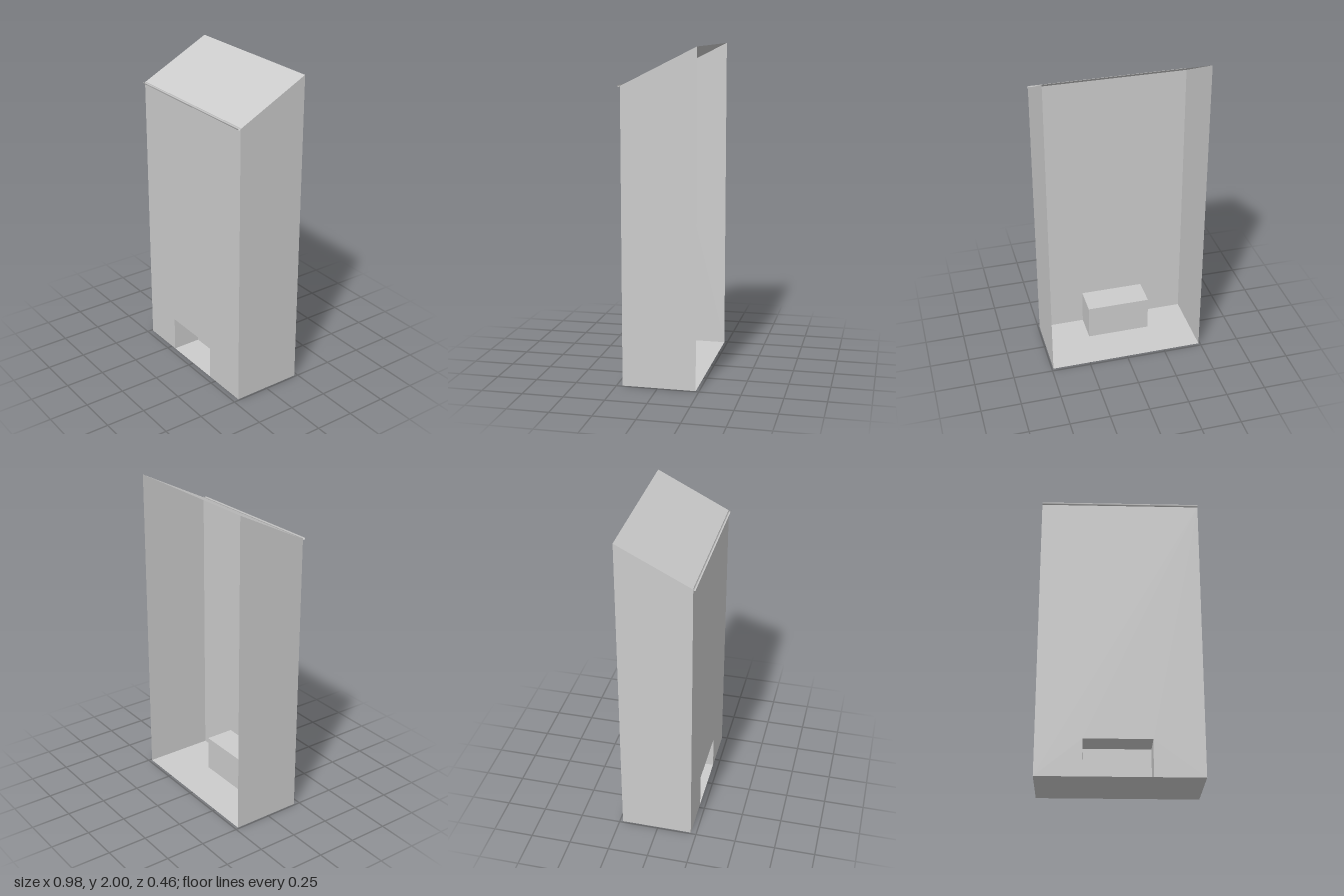
import * as THREE from 'three';

const W = 0.49, BACK = -0.23, FRONT = 0.214, EAVE = 1.777, TOP = 2;
const NX0 = -0.215, NX1 = 0.19, NH = 0.225, NBACK = FRONT - 0.185;

export function createModel() {
  const group = new THREE.Group();
  const material = new THREE.MeshStandardMaterial({ color: 0xcccccc, side: THREE.DoubleSide });

  const add = (name, geometry) => {
    const mesh = new THREE.Mesh(geometry, material);
    mesh.name = name;
    group.add(mesh);
    return mesh;
  };

  // flat four-cornered panel, corners counter-clockwise seen from its front
  const panel = (name, a, b, c, d) => {
    const g = new THREE.BufferGeometry();
    g.setAttribute('position', new THREE.Float32BufferAttribute([a, b, c, d].flat(), 3));
    g.setIndex([0, 1, 2, 0, 2, 3]);
    g.computeVertexNormals();
    return add(name, g);
  };

  // front wall, cut out around the niche
  const outline = [[-W, 0], [NX0, 0], [NX0, NH], [NX1, NH], [NX1, 0], [W, 0], [W, EAVE], [-W, EAVE]];
  const shape = new THREE.Shape(outline.map(([x, y]) => new THREE.Vector2(x, y)));
  add('frontWall', new THREE.ShapeGeometry(shape)).position.z = FRONT;

  // side walls with sloping tops
  panel('leftWall', [W, 0, FRONT], [W, 0, BACK], [W, TOP, BACK], [W, EAVE, FRONT]);
  panel('rightWall', [-W, 0, BACK], [-W, 0, FRONT], [-W, EAVE, FRONT], [-W, TOP, BACK]);

  // roof and floor; the back stays open
  panel('roof', [-W, EAVE, FRONT], [W, EAVE, FRONT], [W, TOP, BACK], [-W, TOP, BACK]);
  panel('floor', [-W, 0, FRONT], [W, 0, FRONT], [W, 0, BACK], [-W, 0, BACK]);

  // niche reaching into the body
  panel('nicheBack', [NX0, 0, NBACK], [NX1, 0, NBACK], [NX1, NH, NBACK], [NX0, NH, NBACK]);
  panel('nicheTop', [NX0, NH, NBACK], [NX1, NH, NBACK], [NX1, NH, FRONT], [NX0, NH, FRONT]);
  panel('nicheRight', [NX0, 0, FRONT], [NX0, 0, NBACK], [NX0, NH, NBACK], [NX0, NH, FRONT]);
  panel('nicheLeft', [NX1, 0, NBACK], [NX1, 0, FRONT], [NX1, NH, FRONT], [NX1, NH, NBACK]);

  // half-round gutter along the eave
  const gutter = new THREE.CylinderGeometry(0.008, 0.008, 2 * W, 12, 1, true, 0, Math.PI);
  gutter.rotateZ(-Math.PI / 2);
  gutter.scale(1, 1.5, 1);
  // turn the half pipe so its open side faces up
  gutter.computeBoundingBox();
  if (gutter.boundingBox.max.y > 0.005) gutter.rotateX(Math.PI);
  add('gutter', gutter).position.set(0, EAVE + 0.005, FRONT + 0.008);

  return group;
}
